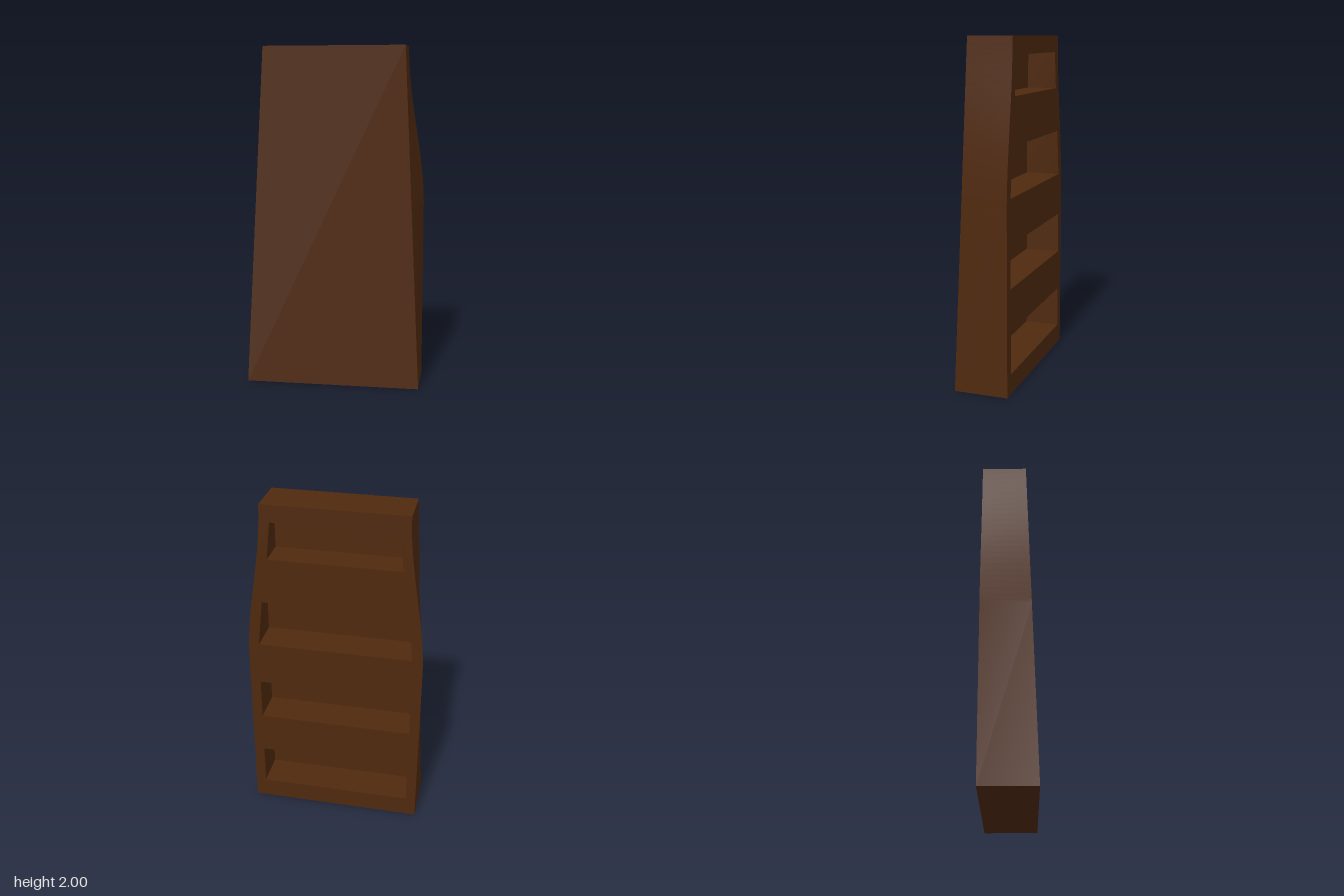
import * as THREE from 'three';
import { mergeGeometries } from 'three/addons/utils/BufferGeometryUtils.js';

const H = 2;
const material = new THREE.MeshStandardMaterial({ color: 0x4f290e });

// Half width of the straight-tapered front and the curved back, and their depths
const frontHalf = (y) => 0.515 - 0.05 * y;
const backHalf = (y) => 0.515 - 0.1 * THREE.MathUtils.smoothstep(y, 1.05, H);
const frontZ = (y) => 0.16 - 0.0275 * y;
const backZ = (y) => -0.16 + 0.0025 * y;

const front = (s, y) => [s * frontHalf(y), y, frontZ(y)];
const back = (s, y) => [s * backHalf(y), y, backZ(y)];

// Ruled surface between two rows of points (counter-clockwise: a0, b0, b1, a1)
function ruled(a, b) {
  const g = new THREE.BufferGeometry();
  const index = [];
  for (let i = 0; i < a.length - 1; i++) {
    const k = 2 * i;
    index.push(k, k + 1, k + 3, k, k + 3, k + 2);
  }
  g.setAttribute('position', new THREE.Float32BufferAttribute(a.flatMap((p, i) => [...p, ...b[i]]), 3));
  g.setIndex(index);
  g.computeVertexNormals();
  return g;
}

// Recesses in the back: bottom, top, floor depth
const recesses = [
  [0.12, 0.37, 0.055],
  [0.62, 0.87, 0.055],
  [1.13, 1.41, 0.055],
  [1.68, 1.9, 0.025],
];
const recessHalf = (y) => backHalf(y) - 0.06;

function backPanel(levels) {
  const outline = [-1, 1].flatMap((s) =>
    (s < 0 ? levels : [...levels].reverse()).map((y) => new THREE.Vector2(s * backHalf(y), y)));
  const shape = new THREE.Shape(outline);
  for (const [y0, y1] of recesses) {
    const a = recessHalf(y0), b = recessHalf(y1);
    shape.holes.push(new THREE.Path([[-a, y0], [a, y0], [b, y1], [-b, y1]].map((p) => new THREE.Vector2(...p))));
  }
  const g = new THREE.ShapeGeometry(shape);
  const p = g.attributes.position;
  for (let i = 0; i < p.count; i++) p.setXYZ(i, -p.getX(i), p.getY(i), backZ(p.getY(i)));
  g.computeVertexNormals();
  g.deleteAttribute('uv');
  return g;
}

function recess([y0, y1, z]) {
  const half = recessHalf(y0);
  const outer = (s, y) => [s * recessHalf(y), y, backZ(y)];
  const inner = (s, y) => [s * half, y, z];
  const up = (f, s) => [f(s, y0), f(s, y1)];
  return mergeGeometries([
    ruled(up(inner, 1), up(inner, -1)),                                             // floor
    ruled([inner(-1, y0), outer(-1, y0)], [inner(1, y0), outer(1, y0)]),            // lower ledge
    ruled([outer(-1, y1), inner(-1, y1)], [outer(1, y1), inner(1, y1)]),            // upper ledge
    ruled(up(outer, 1), up(inner, 1)),                                              // side walls
    ruled(up(inner, -1), up(outer, -1)),
  ]);
}

export function createModel() {
  const group = new THREE.Group();
  const add = (name, geometry) => {
    const mesh = new THREE.Mesh(geometry, material);
    mesh.name = name;
    group.add(mesh);
  };

  // Heights: one straight run, then fine steps around the curve
  const levels = [0];
  for (let i = 0; i <= 24; i++) levels.push(1.05 + (0.95 * i) / 24);
  const row = (f, s) => levels.map((y) => f(s, y));

  // Outer body
  add('frontPanel', ruled([front(-1, 0), front(-1, H)], [front(1, 0), front(1, H)]));
  add('leftSide', ruled(row(front, 1), row(back, 1)));
  add('rightSide', ruled(row(back, -1), row(front, -1)));
  add('topEnd', ruled([front(-1, H), back(-1, H)], [front(1, H), back(1, H)]));
  add('bottomEnd', ruled([back(-1, 0), front(-1, 0)], [back(1, 0), front(1, 0)]));
  add('backPanel', backPanel(levels));

  // Pockets sunk into the back
  recesses.forEach((r, i) => add(`recess${i + 1}`, recess(r)));
  return group;
}
